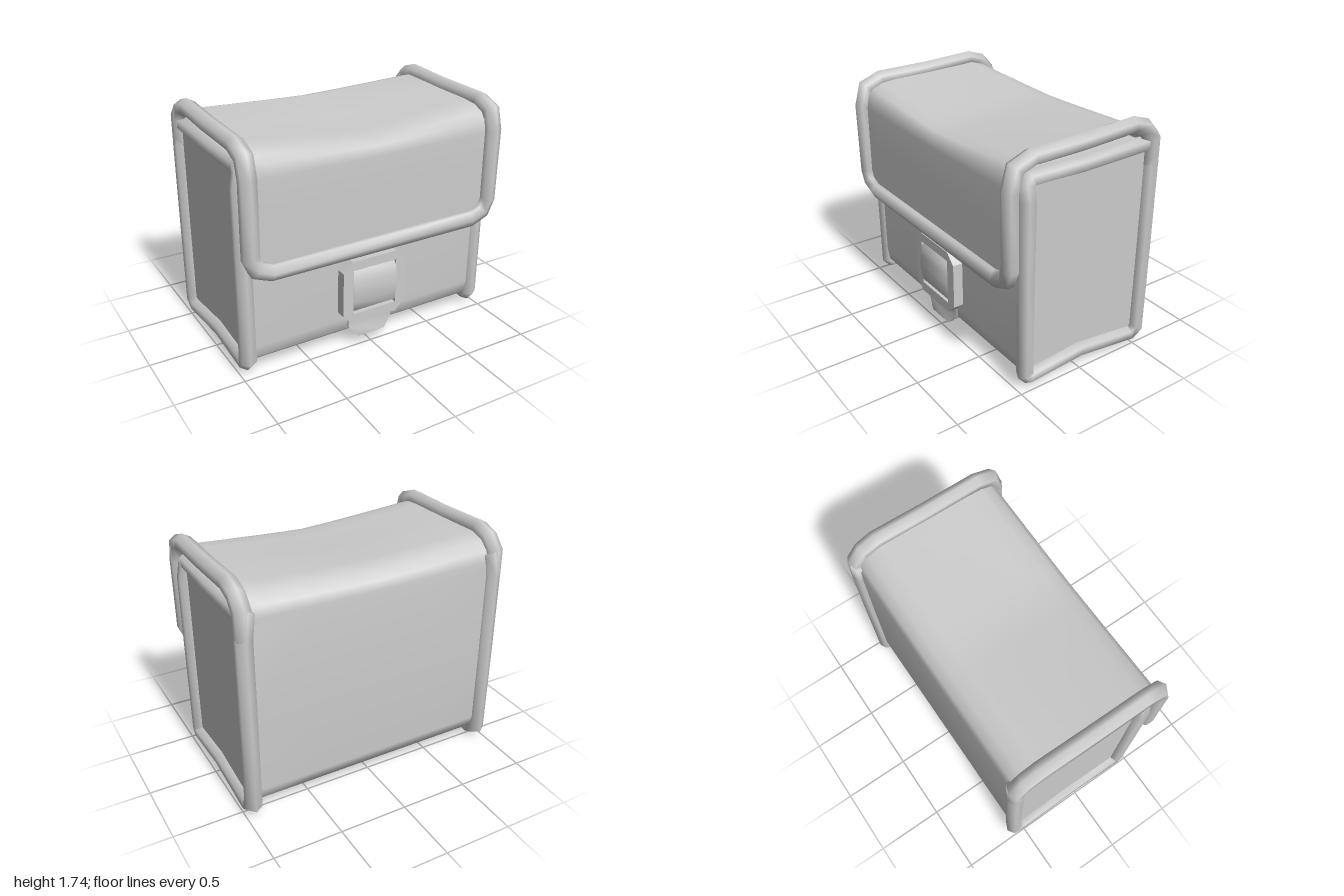
import * as THREE from 'three';

const V = (x, y, z) => new THREE.Vector3(x, y, z);
const mat = new THREE.MeshStandardMaterial({ color: 0xcccccc, side: THREE.DoubleSide });

function add(group, name, geometry) {
  const mesh = new THREE.Mesh(geometry, mat);
  mesh.name = name;
  group.add(mesh);
  return mesh;
}

// Smooth skin over rows of points; either direction can be closed.
function skin(rows, closeCols = false, closeRows = false) {
  const n = rows[0].length, m = rows.length, index = [];
  for (let i = 0; i < (closeRows ? m : m - 1); i++) {
    for (let j = 0; j < (closeCols ? n : n - 1); j++) {
      const i2 = (i + 1) % m, j2 = (j + 1) % n;
      const a = i * n + j, b = i * n + j2, c = i2 * n + j, d = i2 * n + j2;
      index.push(a, b, c, b, d, c);
    }
  }
  const g = new THREE.BufferGeometry().setFromPoints(rows.flat());
  g.setIndex(index);
  g.computeVertexNormals();
  return g;
}

// Six-sided piping section: [sideways, outward], with a ridge on the outer and inner edge
const section = [[0.055, -0.025], [0.055, 0.03], [0, 0.06], [-0.055, 0.03], [-0.055, -0.025], [0, -0.06]];

// Piping swept along straight segments with mitred corners.
function piping(path, closed) {
  const m = path.length, rows = [];
  const dir = i => path[(i + 1) % m].clone().sub(path[i]).normalize();
  const side = V(1, 0, 0);
  for (let i = 0; i < m; i++) {
    const tin = closed || i > 0 ? dir((i - 1 + m) % m) : dir(0);
    const tout = closed || i < m - 1 ? dir(i) : tin;
    const t = tin.clone().add(tout).normalize();
    const up = tin.clone().cross(side);
    rows.push(section.map(([s, u]) => {
      const o = side.clone().multiplyScalar(s).addScaledVector(up, u);
      return o.addScaledVector(tin, -o.dot(t) / tin.dot(t)).add(path[i]);
    }));
    side.applyQuaternion(new THREE.Quaternion().setFromUnitVectors(tin, tout));
  }
  return skin(rows, true, closed);
}

export function createModel() {
  const bag = new THREE.Group();
  bag.name = 'satchel';

  // Body: [z, y] outline, down the front and up the back
  const outline = [
    [0.41, 1.53], [0.45, 1.5], [0.465, 1.42], [0.47, 0.8], [0.465, 0.22], [0.45, 0.13], [0.4, 0.085],
    [0, 0.105], [-0.47, 0.08], [-0.55, 0.115], [-0.575, 0.2], [-0.577, 0.8], [-0.575, 1.46], [-0.53, 1.53], [0, 1.52],
  ];
  const stations = [-0.93, -0.5, 0, 0.5, 0.93];
  add(bag, 'body', skin(stations.map(x => outline.map(([z, y]) => V(x, y, z))), true));

  // Side panels and the piping around them, which leans in a little along the top
  const edge = [
    [0.41, 1.515], [0.435, 1.48], [0.435, 1.38], [0.435, 0.8], [0.43, 0.12], [0.405, 0.092],
    [-0.02, 0.124], [-0.5, 0.064], [-0.562, 0.102], [-0.566, 0.8], [-0.565, 1.38], [-0.56, 1.518], [0, 1.505],
  ];
  const panel = new THREE.ShapeGeometry(new THREE.Shape(edge.map(([z, y]) => new THREE.Vector2(-z, y))));
  for (const s of [1, -1]) {
    const name = s > 0 ? 'left' : 'right';
    const p = add(bag, name + 'SidePanel', panel);
    p.rotation.y = s * Math.PI / 2;
    if (s < 0) p.scale.x = -1;
    p.position.x = s * 0.95;
    add(bag, name + 'SidePiping', piping(edge.map(([z, y]) => V(s * (y > 1.4 ? 0.925 : 0.943), y, z)), true));
  }

  // Flap: rows of [z, y, half width, sag at the middle], from the back over to the front
  const flap = [
    [-0.575, 1.35, 0.94, 0], [-0.575, 1.5, 0.94, 0.01], [-0.555, 1.575, 0.94, 0.03], [-0.49, 1.635, 0.94, 0.035],
    [-0.385, 1.667, 0.94, 0.04], [0, 1.655, 0.94, 0.07], [0.3, 1.65, 0.94, 0.08], [0.42, 1.64, 0.94, 0.075],
    [0.5, 1.605, 0.94, 0.06], [0.54, 1.55, 0.94, 0.03], [0.555, 1.46, 0.94, 0.01], [0.555, 1.2, 0.94, 0],
    [0.555, 0.95, 0.94, 0], [0.555, 0.87, 0.91, 0], [0.555, 0.82, 0.8, 0],
  ];
  add(bag, 'flap', skin(flap.map(([z, y, w, sag]) => {
    const row = [];
    for (let k = 6; k >= -6; k--) row.push(V(w * k / 6, y - sag * (1 - Math.abs(k / 6) ** 1.2), z));
    return row;
  })));

  // Flap piping: up from the back, over the top, round the front edge and back again
  const half = [
    [0.943, 1.38, -0.565], [0.943, 1.567, -0.563], [0.943, 1.645, -0.494], [0.943, 1.68, -0.385],
    [0.943, 1.661, 0], [0.943, 1.656, 0.41], [0.943, 1.61, 0.53], [0.943, 1.475, 0.567],
    [0.943, 0.95, 0.56], [0.905, 0.862, 0.557], [0.8, 0.82, 0.557],
  ].map(p => V(...p));
  const mirrored = half.map(p => V(-p.x, p.y, p.z)).reverse();
  add(bag, 'flapPiping', piping([...half, ...mirrored], false));

  // Strap: rows of [y, z, half width], bulging through the buckle, with closed sides
  const strap = [
    [0.86, 0.495, 0.175], [0.7, 0.49, 0.175], [0.645, 0.5, 0.175], [0.6, 0.543, 0.175], [0.53, 0.555, 0.175],
    [0.46, 0.562, 0.175], [0.39, 0.553, 0.175], [0.32, 0.54, 0.175], [0.29, 0.5, 0.175],
    [0.22, 0.49, 0.175], [0.155, 0.49, 0.175], [0.075, 0.508, 0.108],
  ];
  add(bag, 'strap', skin(strap.map(([y, z, w]) => [V(w, y, 0.465), V(w, y, z), V(-w, y, z), V(-w, y, 0.465)])));

  // Buckle: chamfered frame with a rectangular window
  const frame = new THREE.Shape([
    [-0.18, 0.22], [0.18, 0.22], [0.255, 0.295], [0.255, 0.635],
    [0.18, 0.71], [-0.18, 0.71], [-0.255, 0.635], [-0.255, 0.295],
  ].map(p => new THREE.Vector2(...p)));
  frame.holes.push(new THREE.Path([
    [-0.175, 0.295], [-0.175, 0.64], [0.175, 0.64], [0.175, 0.295],
  ].map(p => new THREE.Vector2(...p))));
  add(bag, 'buckle', new THREE.ExtrudeGeometry(frame, { depth: 0.075, bevelEnabled: false })).position.z = 0.468;

  return bag;
}
